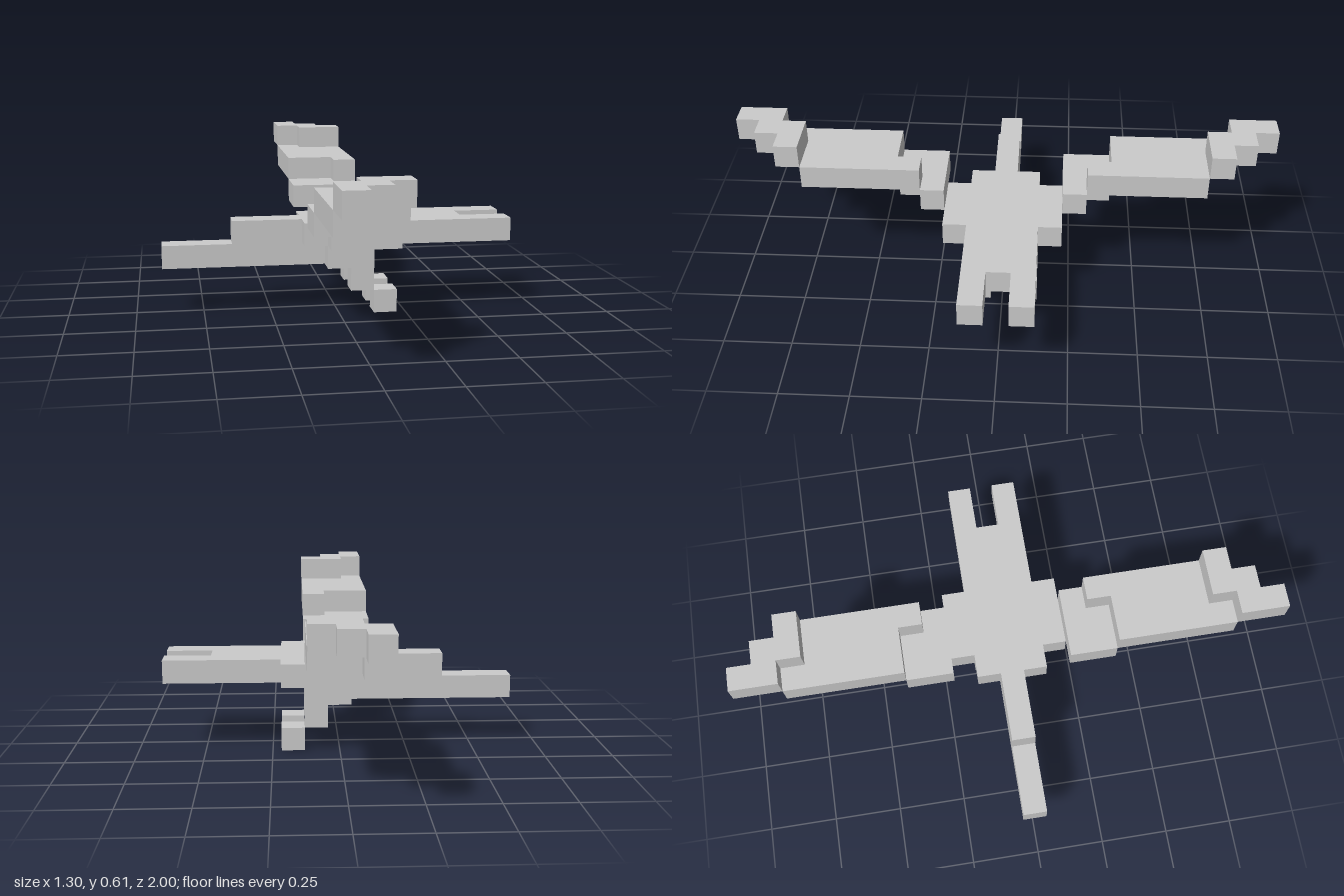
import * as THREE from 'three';

const U = 2 / 23; // edge of one cube
const material = new THREE.MeshStandardMaterial({ color: 0xcccccc, flatShading: true });

// One-cube-thick slab: outline of [x, z] corners in cubes, on the given layer
function slab(name, layer, outline, side = 1) {
  const shape = new THREE.Shape(outline.map(([x, z]) => new THREE.Vector2(x * U, z * side * U)));
  const geometry = new THREE.ExtrudeGeometry(shape, { depth: U, bevelEnabled: false });
  geometry.rotateX(Math.PI / 2).translate(0, (layer + 1) * U, 0);
  const mesh = new THREE.Mesh(geometry, material);
  mesh.name = name;
  return mesh;
}

// Completes an outline given for +z by mirroring it to -z
const mirrored = (half) => [...half, ...half.map(([x, z]) => [x, -z]).reverse()];

const rect = (x0, x1, z0, z1) => [[x0, z0], [x1, z0], [x1, z1], [x0, z1]];

export function createModel() {
  const model = new THREE.Group();
  model.name = 'blockBird';

  // Upper body with the long neck and the forked tail
  model.add(slab('upperBody', 3, mirrored([
    [-4.5, 0.5], [-1.5, 0.5], [-1.5, 1.5], [-0.5, 1.5], [-0.5, 2.5], [2.5, 2.5],
    [2.5, 1.5], [7.5, 1.5], [7.5, 0.5], [5.5, 0.5],
  ])));

  // Belly running forward into the beak
  model.add(slab('bellyAndBeak', 2, mirrored([
    [-7.5, 0.5], [-0.5, 0.5], [-0.5, 1.5], [1.5, 1.5],
  ])));

  for (const side of [1, -1]) {
    const prefix = side > 0 ? 'left' : 'right';

    // Leg and the foot stepped behind it
    model.add(slab(prefix + 'Leg', 1, rect(0.5, 1.5, 0.5, 1.5), side));
    model.add(slab(prefix + 'Foot', 0, rect(1.5, 2.5, 0.5, 1.5), side));

    // Wing rising in three stepped slabs
    const wing = new THREE.Group();
    wing.name = prefix + 'Wing';
    wing.add(
      slab('wingRoot', 4, [
        [-1.5, 2.5], [1.5, 2.5], [1.5, 3.5], [0.5, 3.5], [0.5, 4.5], [-1.5, 4.5],
      ], side),
      slab('wingMiddle', 5, [
        [-1.5, 4.5], [0.5, 4.5], [0.5, 3.5], [1.5, 3.5], [1.5, 8.5],
        [-0.5, 8.5], [-0.5, 9.5], [-1.5, 9.5],
      ], side),
      slab('wingTip', 6, [
        [-1.5, 9.5], [-0.5, 9.5], [-0.5, 8.5], [1.5, 8.5], [1.5, 9.5],
        [0.5, 9.5], [0.5, 10.5], [-0.5, 10.5], [-0.5, 11.5], [-1.5, 11.5],
      ], side),
    );
    model.add(wing);
  }
  return model;
}
